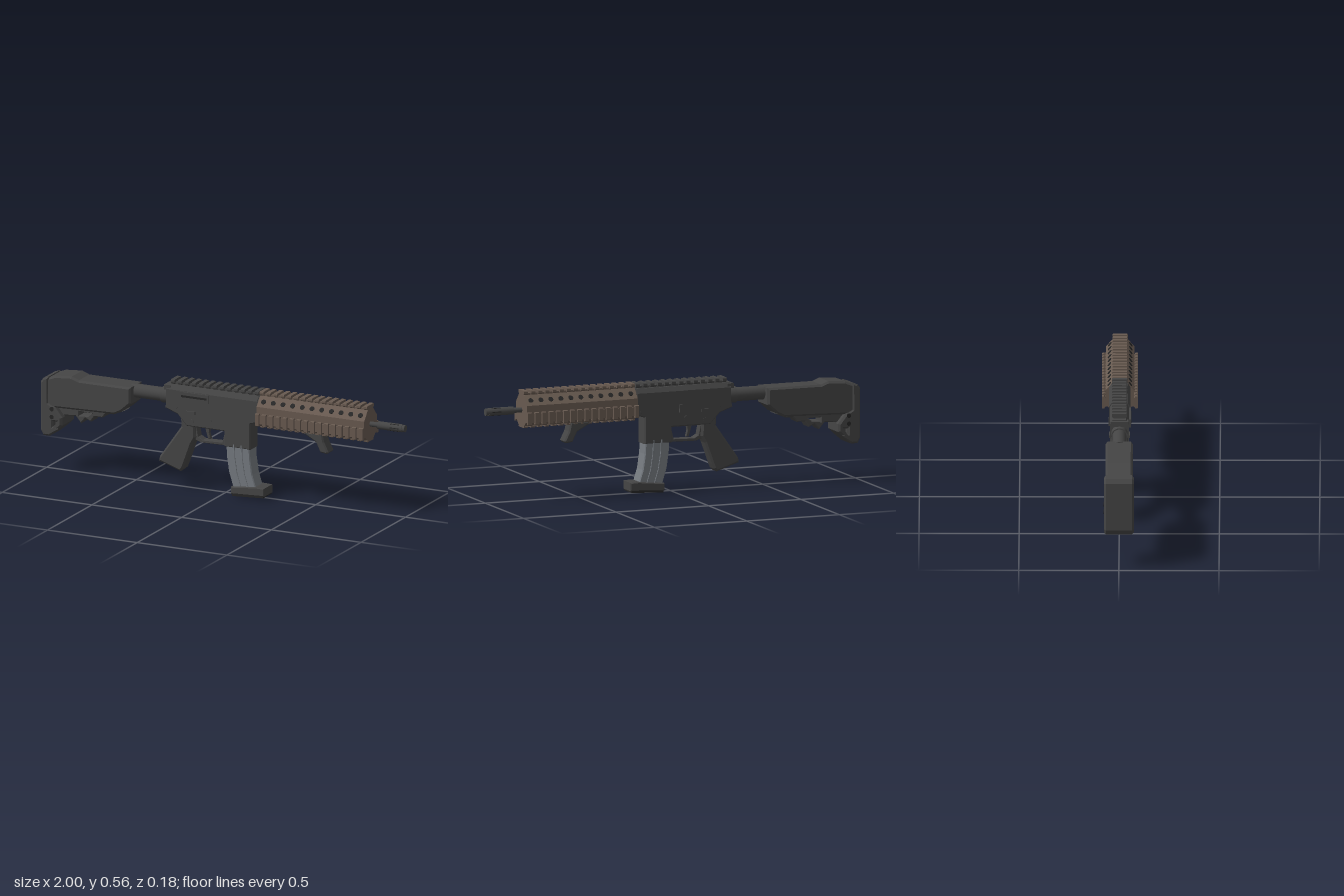
import * as THREE from 'three';

const mat = (name, color) => {
  const m = new THREE.MeshStandardMaterial({ color });
  m.name = name;
  return m;
};

export function createModel() {
  const root = new THREE.Group();
  root.name = 'carbine';
  const dark = mat('charcoal', 0x454545);
  const black = mat('black', 0x262626);
  const brown = mat('earthBrown', 0x685a50);
  const steel = mat('magazineGrey', 0x757a80);

  const add = (name, geo, material, parent = root) => {
    const m = new THREE.Mesh(geo, material);
    m.name = name;
    parent.add(m);
    return m;
  };
  const shapeOf = (pts) => new THREE.Shape(pts.map(([x, y]) => new THREE.Vector2(x, y)));

  // Side profile [x, y] extruded to half width w, with chamfered edges
  const side = (name, pts, w, material, bevel = 0.006, holes = []) => {
    const s = shapeOf(pts);
    holes.forEach((h) => s.holes.push(shapeOf(h)));
    const g = new THREE.ExtrudeGeometry(s, {
      depth: 2 * (w - bevel), bevelEnabled: bevel > 0, bevelSize: bevel,
      bevelOffset: -bevel, bevelThickness: bevel, bevelSegments: 1,
    });
    g.translate(0, 0, -(w - bevel));
    return add(name, g, material);
  };
  // Cross-section [z, y], symmetric in z, run from x0 to x1
  const prismGeo = (pts, x0, x1) => {
    const g = new THREE.ExtrudeGeometry(shapeOf(pts), { depth: x1 - x0, bevelEnabled: false });
    return g.rotateY(Math.PI / 2).translate(x0, 0, 0);
  };
  const prism = (name, pts, x0, x1, material) => add(name, prismGeo(pts, x0, x1), material);
  const box = (name, x0, x1, y0, y1, z0, z1, material) => {
    const g = new THREE.BoxGeometry(x1 - x0, y1 - y0, z1 - z0);
    return add(name, g.translate((x0 + x1) / 2, (y0 + y1) / 2, (z0 + z1) / 2), material);
  };
  const tube = (name, x0, x1, y, r, material) => {
    const g = new THREE.CylinderGeometry(r, r, x1 - x0, 24).rotateZ(Math.PI / 2);
    return add(name, g.translate((x0 + x1) / 2, y, 0), material);
  };
  // Short round pin facing sideways through the body
  const pin = (name, x, y, r, halfLength, material) =>
    add(name, new THREE.CylinderGeometry(r, r, 2 * halfLength, 16).rotateX(Math.PI / 2).translate(x, y, 0), material);

  // Toothed accessory rail pointing up from its own origin
  const rail = (name, x0, x1, count, half, h, material) => {
    const group = new THREE.Group();
    group.name = name;
    const foot = half * 0.7;
    add('railBase', prismGeo([[-foot, -0.01], [foot, -0.01], [foot, h * 0.4], [-foot, h * 0.4]], x0, x1), material, group);
    const tooth = [[-foot, 0], [foot, 0], [half, h * 0.35], [half, h * 0.8], [half * 0.92, h],
      [-half * 0.92, h], [-half, h * 0.8], [-half, h * 0.35]];
    const pitch = (x1 - x0) / (count - 0.45);
    for (let i = 0; i < count; i++) {
      const x = x0 + i * pitch;
      add('railTooth', prismGeo(tooth, x, x + pitch * 0.55), material, group);
    }
    root.add(group);
    return group;
  };

  // Shoulder stock: wide body, narrow stepped web, butt plate
  side('stockBody', [[-0.98, 0.35], [-0.98, 0.48], [-0.92, 0.503], [-0.83, 0.51], [-0.79, 0.495],
    [-0.5, 0.495], [-0.5, 0.41], [-0.55, 0.365], [-0.59, 0.345], [-0.97, 0.335]], 0.068, dark, 0.01);
  side('stockWeb', [[-0.96, 0.36], [-0.55, 0.36], [-0.61, 0.335], [-0.65, 0.335], [-0.67, 0.31],
    [-0.715, 0.31], [-0.735, 0.28], [-0.765, 0.295], [-0.79, 0.265], [-0.82, 0.3],
    [-0.88, 0.295], [-0.88, 0.25], [-0.96, 0.21]], 0.04, dark, 0.005,
  [[[-0.8, 0.325], [-0.8, 0.305], [-0.75, 0.31], [-0.73, 0.325]]]);
  side('buttPlate', [[-1, 0.215], [-0.985, 0.187], [-0.95, 0.187], [-0.9, 0.23], [-0.88, 0.25],
    [-0.88, 0.29], [-0.92, 0.34], [-0.955, 0.36], [-0.955, 0.495], [-0.985, 0.485], [-1, 0.465]], 0.075, dark, 0.01,
  [[[-0.93, 0.265], [-0.91, 0.265], [-0.91, 0.24], [-0.93, 0.24]]]);
  for (const y of [0.29, 0.33]) pin('stockSlot', -0.935, y, 0.011, 0.0765, black);

  // Stock tube and collar
  tube('stockTube', -0.52, -0.29, 0.465, 0.035, dark);
  tube('stockTubeCollar', -0.35, -0.3, 0.465, 0.041, dark);

  // Upper receiver with chamfered roof
  prism('upperReceiver', [[-0.048, 0.42], [0.048, 0.42], [0.048, 0.51], [0.034, 0.535],
    [-0.034, 0.535], [-0.048, 0.51]], -0.31, 0.205, dark);
  prism('receiverPanel', [[-0.053, 0.445], [0.053, 0.445], [0.053, 0.51], [0.04, 0.533],
    [-0.04, 0.533], [-0.053, 0.51]], -0.07, 0.2, dark);
  box('chargingHandle', -0.325, -0.29, 0.505, 0.53, -0.045, 0.045, dark);
  box('ejectionCover', -0.23, -0.07, 0.465, 0.508, 0.04, 0.058, dark);
  box('ejectionSlot', -0.22, -0.08, 0.482, 0.492, 0.055, 0.0605, black);
  box('boltCatch', -0.05, -0.03, 0.4, 0.44, -0.056, -0.04, dark);

  // Lower receiver and magazine well
  side('lowerReceiver', [[-0.31, 0.455], [-0.32, 0.41], [-0.25, 0.385], [-0.2, 0.33], [0.01, 0.33],
    [0.01, 0.25], [0.155, 0.25], [0.155, 0.385], [0.19, 0.395], [0.205, 0.445]], 0.044, dark, 0.005);
  for (const [x, y] of [[-0.26, 0.425], [-0.17, 0.355], [-0.07, 0.37], [0.17, 0.42]])
    pin('receiverPin', x, y, 0.012, 0.048, dark);
  box('selectorLever', -0.2, -0.15, 0.395, 0.41, -0.052, 0.052, dark);

  // Pistol grip with its flared base
  side('pistolGrip', [[-0.24, 0.39], [-0.16, 0.36], [-0.155, 0.27], [-0.175, 0.235], [-0.215, 0.125],
    [-0.225, 0.1], [-0.24, 0.085], [-0.36, 0.125], [-0.355, 0.15], [-0.235, 0.32]], 0.036, dark, 0.01);

  // Trigger guard loop and trigger
  side('triggerGuard', [[-0.17, 0.335], [-0.17, 0.26], [-0.13, 0.247], [0.015, 0.25], [0.015, 0.335]], 0.022, dark, 0.002,
    [[[-0.155, 0.325], [-0.145, 0.275], [-0.12, 0.261], [-0.01, 0.264], [0.005, 0.325]]]);
  side('trigger', [[-0.115, 0.335], [-0.085, 0.335], [-0.09, 0.3], [-0.082, 0.268], [-0.096, 0.268], [-0.106, 0.3]],
    0.01, dark, 0.002);

  // Curved magazine with ribs and a base pad
  const curve = (u) => [[0.02 + u * 0.13, 0.27], [0.023 + u * 0.13, 0.2], [0.035 + u * 0.13, 0.12], [0.06 + u * 0.13, 0.04]];
  side('magazine', [...curve(0), ...curve(1).reverse()], 0.041, steel, 0.005);
  for (const u of [0.3, 0.62])
    side('magazineRib', [...curve(u), ...curve(u + 0.07).reverse()], 0.0445, steel, 0.002);
  side('magazineBase', [[0.05, 0.01], [0.235, 0.018], [0.235, 0.06], [0.19, 0.062], [0.05, 0.048]], 0.05, dark, 0.005);
  side('magazineFloor', [[0.055, 0], [0.23, 0.01], [0.23, 0.02], [0.055, 0.012]], 0.047, black, 0);

  // Octagonal handguard
  prism('handguard', [[-0.036, 0.382], [0.036, 0.382], [0.072, 0.415], [0.072, 0.49], [0.03, 0.538],
    [-0.03, 0.538], [-0.072, 0.49], [-0.072, 0.415]], 0.205, 0.805, brown);
  rail('topRail', 0.205, 0.805, 16, 0.038, 0.022, brown).position.y = 0.538;
  rail('receiverRail', -0.29, 0.2, 13, 0.038, 0.025, dark).position.y = 0.535;
  const under = rail('bottomRail', 0.205, 0.805, 16, 0.034, 0.012, brown);
  under.rotation.x = Math.PI;
  under.position.y = 0.384;
  for (const s of [-1, 1]) {
    const r = rail('sideRail', 0.205, 0.805, 16, 0.032, 0.019, brown);
    r.rotation.x = s * Math.PI / 2;
    r.position.set(0, 0.426, s * 0.071);
    // Cooling holes along the slanted upper faces
    for (let i = 0; i < 11; i++) {
      const hole = add('coolingHole', new THREE.CylinderGeometry(0.013, 0.013, 0.004, 14), black);
      hole.rotation.x = s * Math.atan2(0.048, 0.042);
      hole.position.set(0.235 + i * 0.054, 0.513, s * 0.052);
    }
  }

  // Angled foregrip
  side('foregrip', [[0.44, 0.385], [0.55, 0.385], [0.56, 0.34], [0.585, 0.29], [0.575, 0.28],
    [0.54, 0.285], [0.515, 0.335], [0.45, 0.37]], 0.034, dark, 0.007);

  // Barrel and muzzle device with dark slots
  tube('barrel', 0.79, 0.92, 0.46, 0.013, dark);
  tube('muzzleDevice', 0.85, 0.985, 0.46, 0.02, dark);
  tube('muzzleTip', 0.98, 1, 0.46, 0.018, dark);
  for (let i = 0; i < 6; i++) {
    const slot = box('muzzleSlot', 0.92, 0.97, -0.002, 0.002, 0.017, 0.0208, black);
    slot.rotation.x = i * Math.PI / 3;
    slot.position.y = 0.46;
  }
  return root;
}
